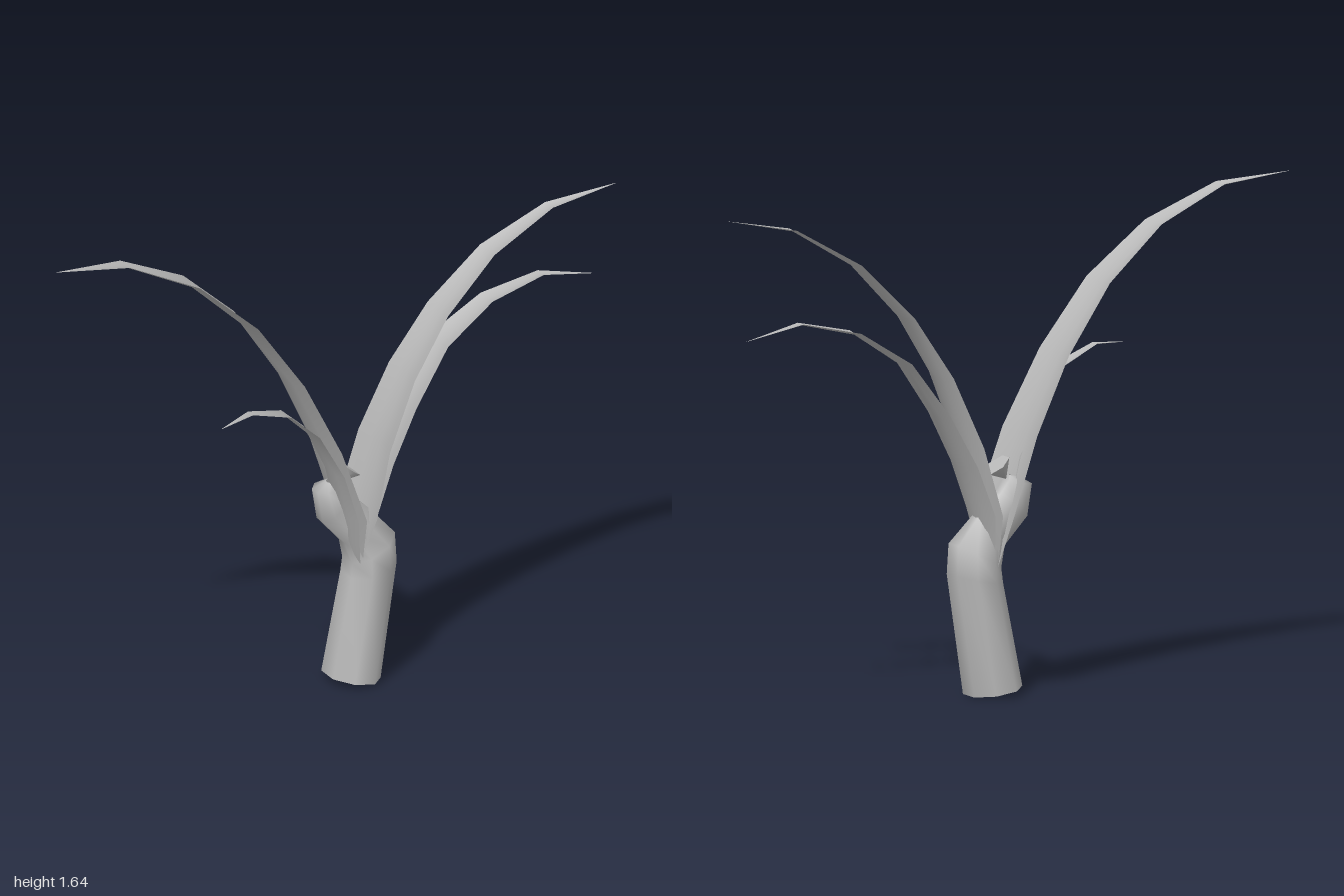
import * as THREE from 'three';

// Skin a list of point rows; closed rows wrap round
function skin(rows, closed) {
  const n = rows[0].length, idx = [];
  for (let i = 0; i < rows.length - 1; i++) {
    for (let j = 0; j < (closed ? n : n - 1); j++) {
      const a = i * n + j, b = i * n + (j + 1) % n;
      idx.push(a, a + n, b, b, a + n, b + n);
    }
  }
  const g = new THREE.BufferGeometry();
  g.setAttribute('position', new THREE.Float32BufferAttribute(rows.flat(2), 3));
  g.setIndex(idx);
  g.computeVertexNormals();
  return g;
}

// Leaf stations: x, y, z of the midrib and half width; the blade is a shallow trough
function leafGeometry(stations) {
  const side = Math.sign(stations.at(-1)[0]);
  const rows = stations.map(([x, y, z, w], i) => {
    const p = stations[Math.max(i - 1, 0)], q = stations[Math.min(i + 1, stations.length - 1)];
    const l = Math.hypot(q[0] - p[0], q[1] - p[1]);
    const nx = -side * (q[1] - p[1]) / l, ny = side * (q[0] - p[0]) / l; // upper side
    return [-1, -0.5, 0, 0.5, 1].map((t) => {
      const d = (t * t - 0.5) * w * 0.22;
      return [x + nx * d, y + ny * d, z + t * w];
    });
  });
  return skin(rows, false);
}

// Stem stations: left x, y, right x, y and half depth
function stemGeometry(stations, sides, zc) {
  const rows = stations.map(([lx, ly, rx, ry, d]) => Array.from({ length: sides }, (_, k) => {
    const a = ((k + 0.5) / sides) * Math.PI * 2, s = 1 / Math.cos(Math.PI / sides);
    const u = 0.5 + 0.5 * Math.cos(a) * s;
    return [lx + (rx - lx) * u, ly + (ry - ly) * u, zc - Math.sin(a) * d * s];
  }));
  return skin(rows, true);
}

export function createModel() {
  const model = new THREE.Group();
  const grey = new THREE.MeshStandardMaterial({ color: 0xb8b8b8, side: THREE.DoubleSide });
  grey.name = 'plain grey';
  const add = (name, geometry) => {
    const mesh = new THREE.Mesh(geometry, grey);
    mesh.name = name;
    model.add(mesh);
    return mesh;
  };

  // Leaning trunk bending over into a bud
  const trunk = [
    [-0.008, 0.03, 0.165, 0.003, 0.1],
    [0.06, 0.37, 0.225, 0.4, 0.093],
    [0.065, 0.42, 0.22, 0.5, 0.085],
    [0.045, 0.49, 0.13, 0.6, 0.05],
    [-0.035, 0.58, 0.06, 0.66, 0.055],
    [-0.053, 0.685, 0.03, 0.7, 0.05],
    [-0.01, 0.71, 0.02, 0.715, 0.015],
  ];
  add('trunk', stemGeometry(trunk, 8, -0.045));

  // Flat underside of the trunk
  const base = [trunk[0], [0.078, 0.0165, 0.079, 0.0164, 0.0005]];
  add('trunkBase', stemGeometry(base.reverse(), 8, -0.045));

  // Small tilted crown on the bud
  const crown = add('crown', new THREE.ConeGeometry(0.05, 0.06, 6));
  crown.position.set(0.045, 0.725, -0.04);
  crown.rotation.z = 2.5;

  // Arching leaves, all springing from the top of the trunk
  const leaves = {
    tallRightLeaf: [
      [0.09, 0.4, -0.05, 0.05], [0.055, 0.6, -0.05, 0.135], [-0.03, 0.85, -0.05, 0.125],
      [-0.15, 1.1, -0.052, 0.105], [-0.305, 1.325, -0.054, 0.085], [-0.5, 1.5, -0.055, 0.06],
      [-0.74, 1.613, -0.055, 0.034], [-0.99, 1.638, -0.055, 0.001],
    ],
    tallLeftLeaf: [
      [0.09, 0.42, -0.045, 0.05], [0.12, 0.6, -0.045, 0.13], [0.17, 0.82, -0.035, 0.11],
      [0.26, 1.05, -0.02, 0.09], [0.38, 1.25, -0.005, 0.07], [0.55, 1.43, 0.01, 0.05],
      [0.76, 1.555, 0.033, 0.027], [0.99, 1.598, 0.057, 0.001],
    ],
    lowLeftLeaf: [
      [0.1, 0.42, -0.05, 0.05], [0.135, 0.6, -0.05, 0.105], [0.195, 0.76, -0.052, 0.1],
      [0.285, 0.93, -0.055, 0.085], [0.415, 1.11, -0.065, 0.063], [0.59, 1.222, -0.075, 0.042],
      [0.79, 1.267, -0.083, 0.022], [0.99, 1.225, -0.09, 0.001],
    ],
    lowRightLeaf: [
      [0.08, 0.42, -0.03, 0.04], [0.035, 0.6, -0.01, 0.085], [-0.02, 0.77, 0.01, 0.075],
      [-0.11, 0.93, 0.035, 0.055], [-0.225, 1.035, 0.08, 0.035], [-0.38, 1.09, 0.132, 0.018],
      [-0.51, 1.08, 0.178, 0.001],
    ],
  };
  for (const [name, stations] of Object.entries(leaves)) add(name, leafGeometry(stations));

  return model;
}
